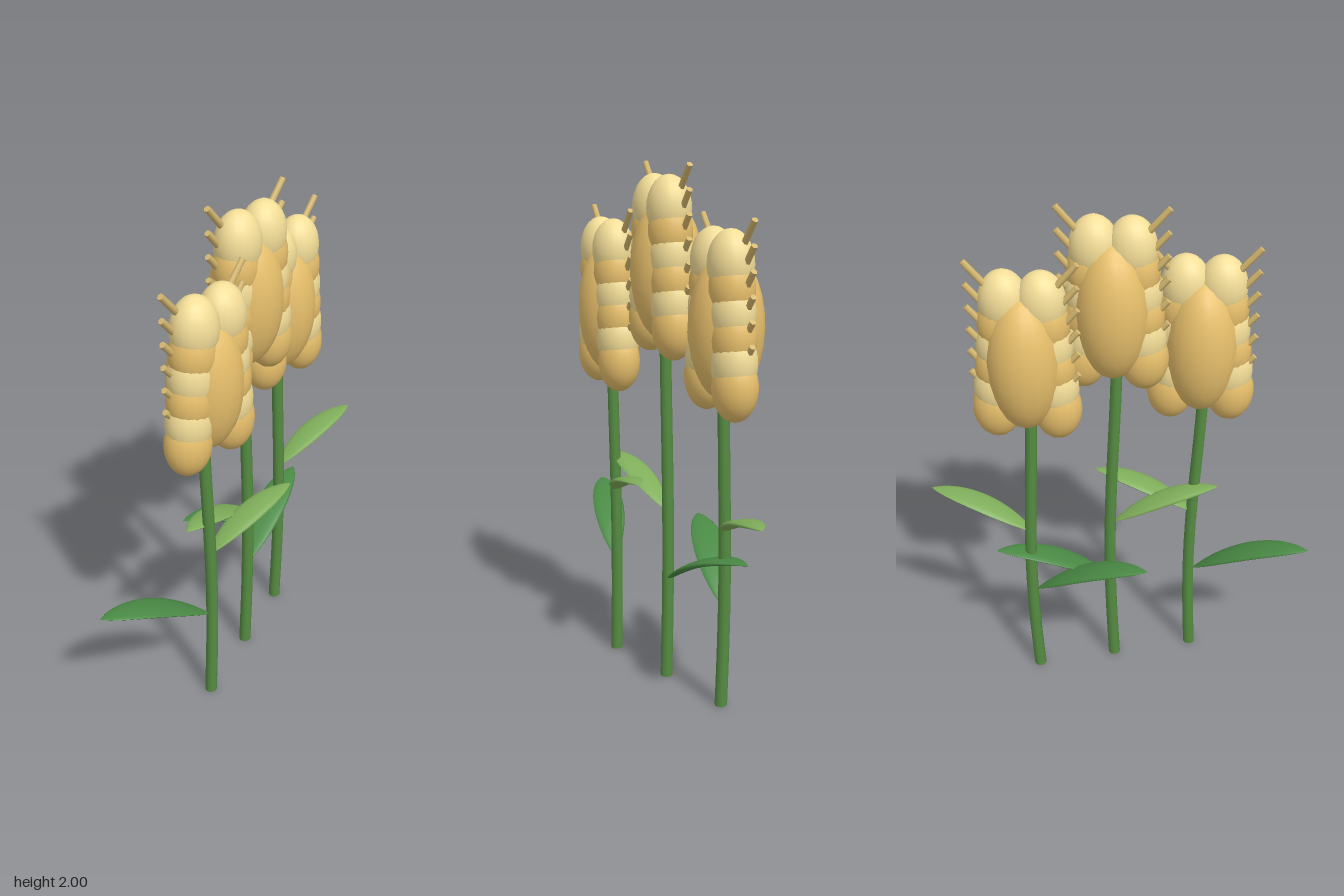
import * as THREE from 'three';

const mat = (color) => new THREE.MeshStandardMaterial({ color });

export function createModel() {
  const stemMat = mat(0x568c42), darkLeaf = mat(0x4a8a45), lightLeaf = mat(0x7fae5a);
  const gold = mat(0xe8c06c), paleGold = mat(0xf4de98), awnMat = mat(0xd6b870);
  stemMat.side = THREE.DoubleSide;
  const ball = new THREE.SphereGeometry(1, 18, 14);
  const awnGeo = new THREE.CylinderGeometry(0.012, 0.013, 0.15, 6);

  const add = (parent, name, geo, material) => {
    const m = new THREE.Mesh(geo, material);
    m.name = name;
    parent.add(m);
    return m;
  };
  const ellipsoid = (parent, name, material, pos, scale) => {
    const m = add(parent, name, ball, material);
    m.position.set(...pos);
    m.scale.set(...scale);
  };

  // Open stem tube with a gentle sideways sway
  function stemGeometry(h) {
    const g = new THREE.CylinderGeometry(0.022, 0.024, h, 10, 16, true);
    g.translate(0, h / 2, 0);
    const p = g.attributes.position;
    for (let i = 0; i < p.count; i++) {
      p.setX(i, p.getX(i) + 0.016 * Math.sin((Math.PI * p.getY(i)) / (0.75 * h)));
    }
    return g;
  }

  // Arched leaf: a flattened ellipsoid swept along a curve from the stem to the tip
  function leafGeometry(dx, dy, dz, width) {
    const curve = new THREE.QuadraticBezierCurve3(
      new THREE.Vector3(0, 0, 0),
      new THREE.Vector3(dx * 0.5, dy * 0.93, dz * 0.5),
      new THREE.Vector3(dx, dy, dz)
    );
    const g = new THREE.SphereGeometry(1, 14, 18);
    const p = g.attributes.position;
    const side = new THREE.Vector3(-dz, 0, dx).normalize();
    const v = new THREE.Vector3();
    for (let i = 0; i < p.count; i++) {
      v.fromBufferAttribute(p, i);
      // Blend of two spacings gives ends between pointed and round
      const angle = Math.acos(THREE.MathUtils.clamp(v.y, -1, 1)) / Math.PI;
      const t = (angle + (1 - v.y) / 2) / 2;
      const down = curve.getTangent(t).cross(side).normalize();
      const c = curve.getPoint(t)
        .addScaledVector(side, v.x * width)
        .addScaledVector(down, v.z * 0.014);
      p.setXYZ(i, c.x, c.y, c.z);
    }
    g.computeVertexNormals();
    return g;
  }

  // Ear: central body, two columns of stacked kernels and short bristles
  function ear() {
    const head = new THREE.Group();
    head.name = 'ear';
    ellipsoid(head, 'earBody', gold, [0, 0.255, 0], [0.135, 0.262, 0.135]);
    for (let row = 0; row < 6; row++) {
      const y = 0.062 + row * 0.0834;
      for (const s of [-1, 1]) {
        ellipsoid(head, 'kernel', row % 2 ? paleGold : gold,
          [s * (0.111 - row * 0.009), y, 0.02], [0.09, 0.12, 0.08]);
        const awn = add(head, 'bristle', awnGeo, awnMat);
        awn.position.set(s * 0.145, y + 0.098, 0);
        awn.rotation.z = -s * 0.72;
      }
    }
    return head;
  }

  // Each stalk: position, stem height and the side its lower leaf points to
  const stalks = [
    { x: -0.287, z: 0.095, h: 1.25, dir: -1 },
    { x: 0.03, z: 0.005, h: 1.42, dir: 1 },
    { x: 0.338, z: -0.085, h: 1.25, dir: -1 },
  ];

  const model = new THREE.Group();
  model.name = 'cropStalks';
  for (const { x, z, h, dir } of stalks) {
    const stalk = new THREE.Group();
    stalk.name = 'stalk';
    stalk.position.set(x, 0, z);
    add(stalk, 'stem', stemGeometry(h), stemMat);

    const lower = add(stalk, 'lowerLeaf', leafGeometry(dir * 0.455, 0.205, -0.115, 0.064), darkLeaf);
    lower.position.y = 0.405;
    const upper = add(stalk, 'upperLeaf', leafGeometry(-dir * 0.405, 0.145, 0.065, 0.056), lightLeaf);
    upper.position.y = 0.695;

    const head = ear();
    head.position.y = h - 0.058;
    stalk.add(head);
    model.add(stalk);
  }
  return model;
}
